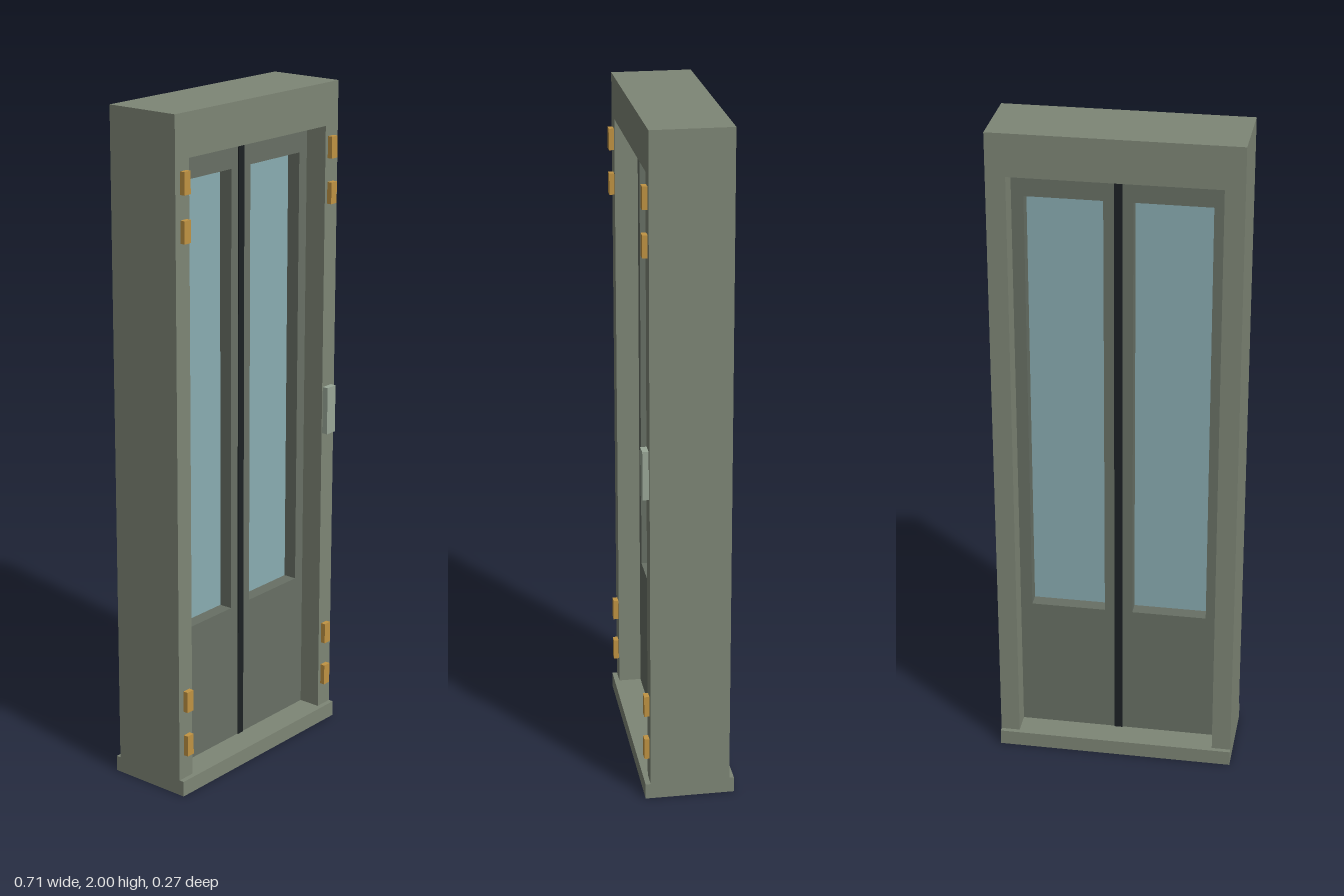
import * as THREE from 'three';

const mat = (color) => new THREE.MeshStandardMaterial({ color });

// Box given by its min and max on each axis
function box(name, material, x0, x1, y0, y1, z0, z1) {
  const mesh = new THREE.Mesh(new THREE.BoxGeometry(x1 - x0, y1 - y0, z1 - z0), material);
  mesh.position.set((x0 + x1) / 2, (y0 + y1) / 2, (z0 + z1) / 2);
  mesh.name = name;
  return mesh;
}

function rect(Type, x0, x1, y0, y1) {
  return new Type([[x0, y0], [x1, y0], [x1, y1], [x0, y1]].map(([x, y]) => new THREE.Vector2(x, y)));
}

// Rectangular panel with a rectangular opening
function panel(name, material, outer, hole, z0, z1) {
  const shape = rect(THREE.Shape, ...outer);
  shape.holes.push(rect(THREE.Path, ...hole));
  const geo = new THREE.ExtrudeGeometry(shape, { depth: z1 - z0, bevelEnabled: false });
  geo.translate(0, 0, z0);
  const mesh = new THREE.Mesh(geo, material);
  mesh.name = name;
  return mesh;
}

export function createModel() {
  const model = new THREE.Group();
  model.name = 'doubleDoor';
  const frameMat = mat(0x7e8676);
  const doorMat = mat(0x687065);
  const glassMat = mat(0x8aadb2);
  const sealMat = mat(0x1c2124);
  const brassMat = mat(0xc09343);
  const plateMat = mat(0x9aa898);

  const W = 0.357, opening = 0.3, sillTop = 0.047, headY = 1.875;
  const back = -0.12, front = 0.114;

  // Surround: jambs and head in one U-shaped piece, standing on the sill
  const surround = new THREE.Shape([
    [-W, sillTop], [-opening, sillTop], [-opening, headY], [opening, headY],
    [opening, sillTop], [W, sillTop], [W, 2], [-W, 2],
  ].map(([x, y]) => new THREE.Vector2(x, y)));
  const surroundGeo = new THREE.ExtrudeGeometry(surround, { depth: front - back, bevelEnabled: false });
  surroundGeo.translate(0, 0, back);
  const frame = new THREE.Mesh(surroundGeo, frameMat);
  frame.name = 'frame';
  model.add(frame);
  model.add(box('sill', frameMat, -W, W, 0, sillTop, -0.134, 0.129));

  // Two leaves, each with a tall window and a centre seal
  for (const side of [-1, 1]) {
    const span = (a, b) => (side > 0 ? [a, b] : [-b, -a]);
    const leaf = new THREE.Group();
    leaf.name = side > 0 ? 'leftLeaf' : 'rightLeaf';
    leaf.add(panel('leafPanel', doorMat,
      [...span(0.011, opening), sillTop, headY], [...span(0.042, 0.265), 0.47, 1.795], -0.052, 0.046));
    leaf.add(box('glass', glassMat, ...span(0.042, 0.265), 0.47, 1.795, -0.011, 0.005));
    leaf.add(box('centreSeal', sealMat, ...span(0, 0.012), sillTop, headY, -0.055, 0.049));
    model.add(leaf);

    // Hinges in pairs near the top and bottom of the jamb
    for (const y of [0.153, 0.292, 1.678, 1.812]) {
      model.add(box('hinge', brassMat, ...span(0.311, 0.337), y - 0.032, y + 0.032, front, 0.129));
    }
  }

  // Control plate on the left jamb
  model.add(box('controlPlate', plateMat, 0.303, 0.342, 0.945, 1.09, front, 0.132));
  return model;
}
